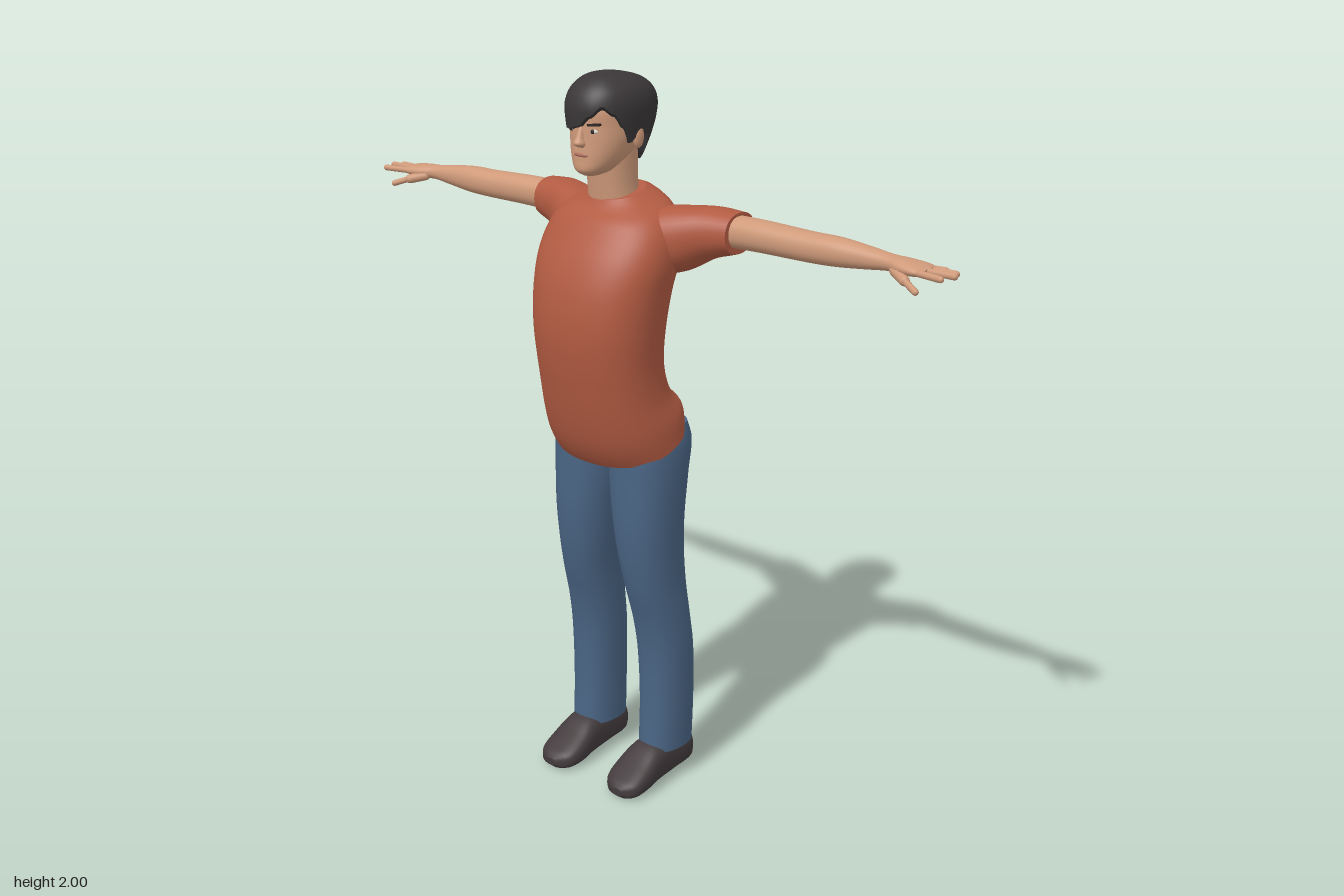
import * as THREE from 'three';
import { mergeGeometries } from 'three/addons/utils/BufferGeometryUtils.js';

const mat = (name, color, side = THREE.FrontSide) => {
  const m = new THREE.MeshStandardMaterial({ color, side });
  m.name = name;
  return m;
};

// Cubic interpolation of cross-section rows [t, uMin, uMax, vMin, vMax] at t
function sectionAt(rows, t) {
  const n = rows.length;
  let i = 0;
  while (i < n - 2 && t > rows[i + 1][0]) i++;
  const slope = (k, c) => {
    const a = rows[Math.max(k - 1, 0)], b = rows[Math.min(k + 1, n - 1)];
    return (b[c] - a[c]) / (b[0] - a[0]);
  };
  const h = rows[i + 1][0] - rows[i][0], s = (t - rows[i][0]) / h;
  return [1, 2, 3, 4].map((c) =>
    rows[i][c] * (1 + 2 * s) * (1 - s) ** 2 + rows[i + 1][c] * s * s * (3 - 2 * s) +
    h * slope(i, c) * s * (1 - s) ** 2 + h * slope(i + 1, c) * s * s * (s - 1));
}

// Skin rounded cross-sections along an axis; u and v are the next two axes in cyclic order
function loft(axis, rows, { seg = 32, steps = 32, p = 0.9, warp, start, caps = true } = {}) {
  const T = { x: 0, y: 1, z: 2 }[axis], U = (T + 1) % 3, V = (T + 2) % 3;
  const pos = [], idx = [];
  const t1 = rows[rows.length - 1][0];
  const pw = (x) => Math.sign(x) * Math.abs(x) ** p;
  for (let k = 0; k <= steps; k++) {
    for (let j = 0; j < seg; j++) {
      const a = (j / seg) * Math.PI * 2;
      const t0 = start ? start(a) : rows[0][0];
      const f = start ? Math.sin((k / steps) * Math.PI / 2) : k / steps;
      const t = t0 + (t1 - t0) * f;
      const [u0, u1, v0, v1] = sectionAt(rows, t);
      const q = [];
      q[T] = t;
      q[U] = (u0 + u1) / 2 + ((u1 - u0) / 2) * pw(Math.cos(a));
      q[V] = (v0 + v1) / 2 + ((v1 - v0) / 2) * pw(Math.sin(a));
      const v = new THREE.Vector3(...q);
      if (warp) warp(v);
      pos.push(v.x, v.y, v.z);
      if (k < steps) {
        const b = k * seg + j, c = k * seg + ((j + 1) % seg);
        idx.push(b, c, c + seg, b, c + seg, b + seg);
      }
    }
  }
  // Flat ends on their own vertices
  if (caps) for (const [k, flip] of [[0, true], [steps, false]]) {
    const base = pos.length / 3, mid = [0, 0, 0];
    for (let j = 0; j < seg; j++) for (let c = 0; c < 3; c++) {
      const value = pos[(k * seg + j) * 3 + c];
      pos.push(value);
      mid[c] += value / seg;
    }
    pos.push(...mid);
    for (let j = 0; j < seg; j++) {
      const a = base + j, b = base + ((j + 1) % seg);
      idx.push(base + seg, flip ? b : a, flip ? a : b);
    }
  }
  const g = new THREE.BufferGeometry();
  g.setAttribute('position', new THREE.Float32BufferAttribute(pos, 3));
  g.setIndex(idx);
  g.computeVertexNormals();
  return g;
}

// Mirrored copy across x = 0 with its faces turned back outward
function mirror(geo) {
  const g = geo.clone();
  for (const key of ['position', 'normal']) {
    const a = g.attributes[key];
    for (let i = 0; i < a.count; i++) a.setX(i, -a.getX(i));
  }
  const ix = g.index;
  for (let i = 0; i < ix.count; i += 3) {
    const b = ix.getX(i + 1);
    ix.setX(i + 1, ix.getX(i + 2));
    ix.setX(i + 2, b);
  }
  return g;
}

function finger(from, to, r) {
  const a = new THREE.Vector3(...from), b = new THREE.Vector3(...to), d = b.clone().sub(a);
  const g = new THREE.CapsuleGeometry(r, d.length() - r, 4, 10);
  g.applyQuaternion(new THREE.Quaternion().setFromUnitVectors(new THREE.Vector3(0, 1, 0), d.normalize()));
  const m = a.add(b).multiplyScalar(0.5);
  return g.translate(m.x, m.y, m.z);
}

const ball = (x, y, z, sx, sy, sz) => new THREE.SphereGeometry(1, 16, 12).scale(sx, sy, sz).translate(x, y, z);

export function createModel() {
  const model = new THREE.Group();
  model.name = 'standingMan';
  const skin = mat('skin', 0xcf9a7a), shirt = mat('shirt', 0xb25b42), jeans = mat('jeans', 0x4a6584);
  const hair = mat('hair', 0x3b3738, THREE.DoubleSide), shoe = mat('shoe', 0x433b3d);
  const eyeWhite = mat('eyeWhite', 0xd8d0c8), dark = mat('iris', 0x2e2624), lip = mat('lip', 0xb0705f);
  const add = (name, geo, material, parent = model) => {
    const m = new THREE.Mesh(geo, material);
    m.name = name;
    parent.add(m);
    return m;
  };
  const pair = (name, geo, material) => {
    add('left' + name, geo, material);
    add('right' + name, mirror(geo), material);
  };

  // Shirt body: hem dips at the front, neckline rises at the back
  add('shirtBody', loft('y', [
    [1.03, -0.168, 0.085, -0.195, 0.195], [1.1, -0.165, 0.13, -0.193, 0.193],
    [1.17, -0.122, 0.16, -0.18, 0.18], [1.25, -0.1, 0.178, -0.177, 0.177],
    [1.35, -0.102, 0.187, -0.184, 0.184], [1.45, -0.118, 0.176, -0.193, 0.193],
    [1.53, -0.14, 0.148, -0.2, 0.2], [1.6, -0.152, 0.107, -0.19, 0.19],
    [1.65, -0.145, 0.072, -0.155, 0.155], [1.68, -0.118, 0.048, -0.1, 0.1], [1.695, -0.092, 0.038, -0.078, 0.078],
  ], {
    seg: 56, steps: 56, p: 0.88,
    warp: (v) => {
      const low = THREE.MathUtils.smoothstep(1.22 - v.y, 0, 0.19);
      const high = THREE.MathUtils.smoothstep(v.y, 1.62, 1.695);
      v.y -= 0.43 * (v.z + 0.06) * low + 0.25 * (v.z + 0.03) * high;
    },
  }), shirt);
  pair('Sleeve', loft('x', [
    [0.08, 1.52, 1.655, -0.13, 0.02], [0.15, 1.49, 1.664, -0.158, 0.02], [0.2, 1.5, 1.668, -0.172, 0.0],
    [0.26, 1.535, 1.67, -0.183, -0.035], [0.33, 1.557, 1.664, -0.183, -0.06],
  ], { steps: 24 }), shirt);

  // Jeans: pelvis bridge and two legs
  add('jeansPelvis', loft('y', [
    [0.93, -0.09, 0.0, -0.03, 0.03], [0.96, -0.13, 0.04, -0.1, 0.1],
    [1.01, -0.16, 0.056, -0.18, 0.18], [1.07, -0.16, 0.04, -0.18, 0.18],
  ]), jeans);
  pair('JeansLeg', loft('y', [
    [0.1, -0.18, -0.015, 0.062, 0.188], [0.25, -0.181, -0.02, 0.06, 0.191], [0.4, -0.175, -0.015, 0.054, 0.193],
    [0.5, -0.162, 0.002, 0.05, 0.19], [0.6, -0.15, 0.03, 0.044, 0.186], [0.7, -0.142, 0.05, 0.031, 0.187],
    [0.8, -0.141, 0.06, 0.018, 0.191], [0.93, -0.156, 0.062, 0.002, 0.195], [1.02, -0.172, 0.06, 0.0, 0.193],
    [1.07, -0.16, 0.04, 0.005, 0.18],
  ], { steps: 44, p: 0.85 }), jeans);

  // Shoes
  pair('Shoe', loft('z', [
    [-0.187, 0.1, 0.15, 0.03, 0.08], [-0.17, 0.08, 0.17, 0.017, 0.118], [-0.1, 0.073, 0.176, 0.011, 0.125],
    [-0.02, 0.066, 0.181, 0.006, 0.12], [0.04, 0.06, 0.186, 0.001, 0.086], [0.085, 0.067, 0.182, 0, 0.06],
    [0.108, 0.088, 0.165, 0.004, 0.046], [0.117, 0.11, 0.145, 0.012, 0.034],
  ], { p: 0.75 }), shoe);

  // Arms and hands
  pair('Arm', loft('x', [
    [0.26, 1.57, 1.655, -0.165, -0.075], [0.4, 1.575, 1.656, -0.162, -0.075], [0.55, 1.575, 1.651, -0.16, -0.08],
    [0.63, 1.577, 1.65, -0.16, -0.085], [0.72, 1.585, 1.64, -0.157, -0.097], [0.78, 1.592, 1.632, -0.154, -0.1],
    [0.82, 1.592, 1.63, -0.163, -0.086], [0.87, 1.596, 1.624, -0.167, -0.08], [0.89, 1.602, 1.618, -0.155, -0.09],
  ], { steps: 40 }), skin);
  pair('Fingers', mergeGeometries([
    finger([0.85, 1.608, -0.157], [0.911, 1.607, -0.167], 0.0075),
    finger([0.86, 1.61, -0.138], [0.951, 1.609, -0.146], 0.0085),
    finger([0.86, 1.611, -0.117], [0.963, 1.611, -0.118], 0.009),
    finger([0.86, 1.61, -0.093], [0.951, 1.61, -0.076], 0.0085),
    finger([0.8, 1.603, -0.105], [0.855, 1.588, -0.075], 0.013),
    finger([0.85, 1.59, -0.077], [0.897, 1.573, -0.056], 0.0085),
  ]), skin);

  // Head, sitting slightly to the right of the centre line
  const head = new THREE.Group();
  head.name = 'head';
  head.position.x = -0.006;
  model.add(head);
  add('neck', loft('y', [
    [1.64, -0.09, 0.035, -0.07, 0.07], [1.72, -0.08, 0.046, -0.064, 0.064], [1.82, -0.08, 0.06, -0.066, 0.066],
  ]), skin, head);
  add('face', loft('y', [
    [1.744, 0.04, 0.088, -0.02, 0.02], [1.755, -0.01, 0.105, -0.042, 0.042], [1.785, -0.05, 0.107, -0.065, 0.065],
    [1.83, -0.085, 0.105, -0.08, 0.08], [1.87, -0.11, 0.104, -0.084, 0.084], [1.92, -0.12, 0.102, -0.083, 0.083],
    [1.965, -0.08, 0.07, -0.058, 0.058], [1.98, -0.03, 0.03, -0.02, 0.02],
  ], { seg: 40, steps: 40 }), skin, head);
  add('nose', loft('y', [
    [1.818, 0.085, 0.108, -0.011, 0.011], [1.827, 0.085, 0.125, -0.016, 0.016],
    [1.842, 0.085, 0.119, -0.011, 0.011], [1.872, 0.085, 0.106, -0.007, 0.007],
  ], { seg: 16, steps: 14 }), skin, head);
  add('mouth', ball(0, 1.799, 0.103, 0.024, 0.006, 0.006), lip, head);
  for (const s of [-1, 1]) {
    add('ear', ball(s * 0.084, 1.84, -0.02, 0.011, 0.031, 0.018), skin, head);
    add('eye', ball(s * 0.036, 1.861, 0.096, 0.015, 0.006, 0.005), eyeWhite, head);
    add('iris', ball(s * 0.036, 1.861, 0.099, 0.006, 0.006, 0.004), dark, head);
    const brow = add('eyebrow', new THREE.BoxGeometry(0.036, 0.006, 0.009), dark, head);
    brow.position.set(s * 0.038, 1.878, 0.096);
    brow.rotation.set(0, s * 0.25, s * 0.1);
  }

  // Hair: hairline height by angle, from the front round past the left side
  const line = [
    [0, 1.872], [18, 1.9], [36, 1.925], [54, 1.905], [68, 1.87], [82, 1.825], [94, 1.85], [112, 1.845], [126, 1.79],
    [150, 1.768], [180, 1.763], [210, 1.768], [234, 1.79], [248, 1.845], [266, 1.85], [278, 1.825], [292, 1.855],
    [315, 1.858], [340, 1.862], [360, 1.872],
  ];
  const hairline = (a) => {
    const d = THREE.MathUtils.radToDeg(a);
    const i = line.findIndex((q) => q[0] > d);
    const [a0, y0] = line[i - 1], [a1, y1] = line[i];
    return THREE.MathUtils.lerp(y0, y1, THREE.MathUtils.smoothstep(d, a0, a1));
  };
  add('hair', loft('y', [
    [1.76, -0.085, 0.1, -0.068, 0.068], [1.8, -0.105, 0.107, -0.084, 0.083], [1.84, -0.127, 0.111, -0.091, 0.089],
    [1.88, -0.14, 0.115, -0.099, 0.096], [1.92, -0.143, 0.116, -0.102, 0.099], [1.955, -0.127, 0.102, -0.092, 0.09],
    [1.98, -0.092, 0.078, -0.068, 0.067], [1.993, -0.045, 0.053, -0.04, 0.04], [2, 0.004, 0.016, -0.006, 0.006],
  ], { seg: 72, steps: 30, start: hairline }), hair, head);
  return model;
}
